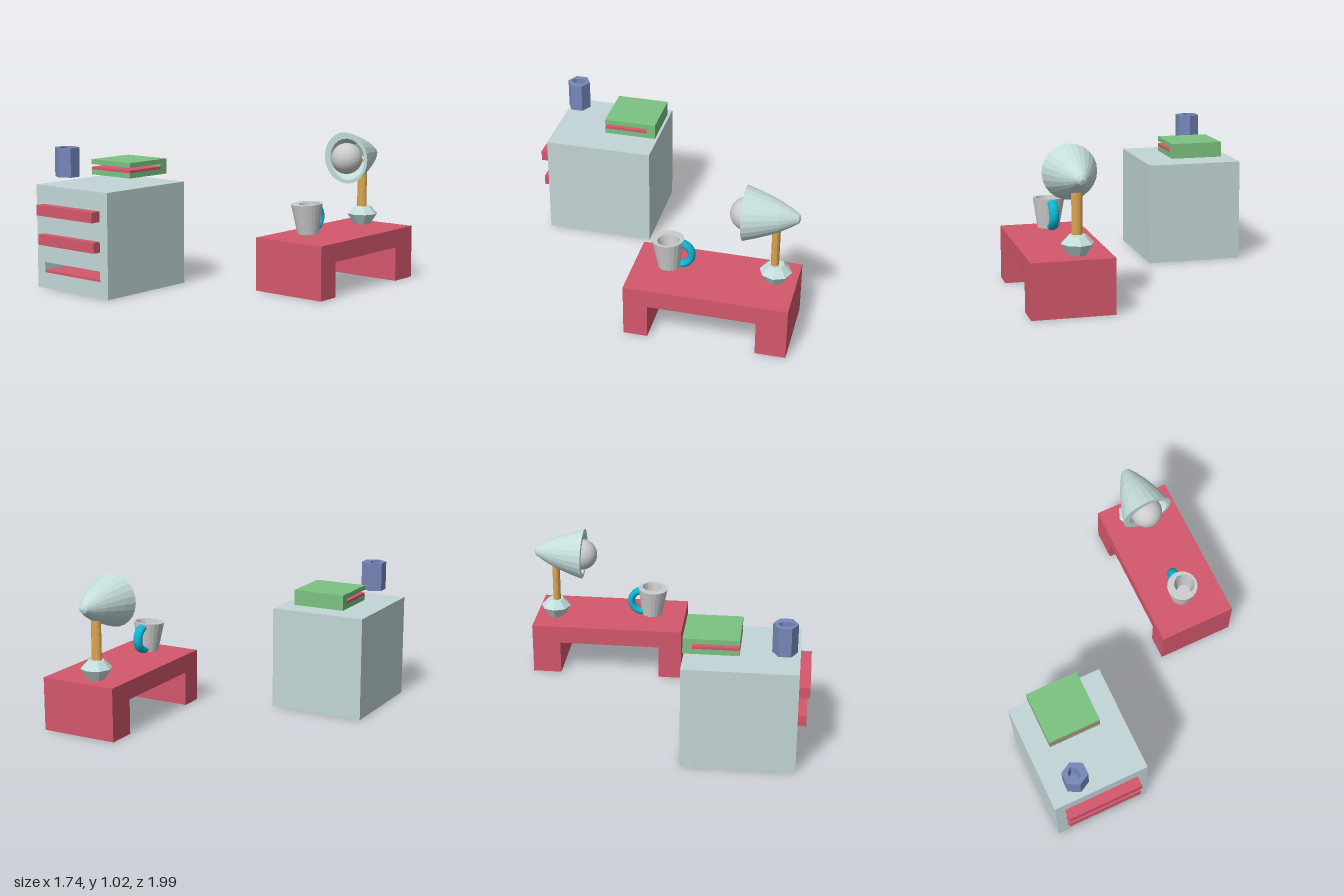
import * as THREE from 'three';

const COLORS = {
  grey: 0xcccccc, pale: 0xc2d6d7, red: 0xd4586c, green: 0x7cc282,
  blue: 0x7688ba, teal: 0x10b4d2, gold: 0xdca650, shade: 0xc4dedc,
};

function part(parent, name, geometry, color, flat = true) {
  const material = new THREE.MeshStandardMaterial({ color: COLORS[color], flatShading: flat });
  const mesh = new THREE.Mesh(geometry, material);
  mesh.name = name;
  parent.add(mesh);
  return mesh;
}

// Box given by its minimum and maximum corners
function box(parent, name, color, [x0, y0, z0], [x1, y1, z1]) {
  const mesh = part(parent, name, new THREE.BoxGeometry(x1 - x0, y1 - y0, z1 - z0), color);
  mesh.position.set((x0 + x1) / 2, (y0 + y1) / 2, (z0 + z1) / 2);
  return mesh;
}

// Closed lathe whose cavity (profile points from index "first") is shifted and squeezed
function vessel(profile, sides, first, dx, dz, squeeze = 1) {
  const geometry = new THREE.LatheGeometry(profile.map(([r, y]) => new THREE.Vector2(r, y)), sides);
  const p = geometry.attributes.position;
  for (let i = 0; i < p.count; i++) {
    if (i % profile.length < first) continue;
    p.setX(i, p.getX(i) * squeeze + dx);
    p.setZ(i, p.getZ(i) + dz);
  }
  geometry.computeVertexNormals();
  return geometry;
}

function rectangle(Type, x0, y0, x1, y1) {
  return new Type([[x0, y0], [x1, y0], [x1, y1], [x0, y1]].map(([x, y]) => new THREE.Vector2(x, y)));
}

function createCabinet() {
  const g = new THREE.Group();
  g.name = 'cabinet';
  // Body: solid back and a front block with an open drawer slot
  box(g, 'cabinetBack', 'pale', [-0.87, 0, 0.19], [-0.21, 0.7, 0.63]);
  const face = rectangle(THREE.Shape, -0.87, 0, -0.21, 0.7);
  face.holes.push(rectangle(THREE.Path, -0.8, 0.11, -0.28, 0.18));
  const front = new THREE.ExtrudeGeometry(face, { depth: 0.3, bevelEnabled: false });
  part(g, 'cabinetFront', front, 'pale').position.z = 0.63;
  // Drawers and the floor of the open slot
  box(g, 'upperDrawer', 'red', [-0.8, 0.505, 0.92], [-0.28, 0.575, 1.0]);
  box(g, 'middleDrawer', 'red', [-0.8, 0.305, 0.92], [-0.28, 0.375, 0.985]);
  box(g, 'slotFloor', 'red', [-0.8, 0.11, 0.63], [-0.28, 0.125, 0.929]);
  return g;
}

function createBook() {
  const g = new THREE.Group();
  g.name = 'book';
  // C-shaped cover, drawn in z and y and extruded along x
  const outline = [[0.19, 0.742], [0.55, 0.742], [0.55, 0.777], [0.25, 0.777],
    [0.25, 0.813], [0.55, 0.813], [0.55, 0.846], [0.19, 0.846]];
  const shape = new THREE.Shape(outline.map(([z, y]) => new THREE.Vector2(-z, y)));
  const cover = new THREE.ExtrudeGeometry(shape, { depth: 0.36, bevelEnabled: false }).rotateY(Math.PI / 2);
  part(g, 'bookCover', cover, 'green').position.x = -0.73;
  box(g, 'bookPages', 'red', [-0.729, 0.777, 0.25], [-0.371, 0.795, 0.549]);
  return g;
}

function createPenCup() {
  const profile = [[0, 0], [0.08, 0], [0.08, 0.195], [0.055, 0.195], [0.055, 0.04], [0, 0.04]];
  const g = new THREE.Group();
  const cup = part(g, 'penCup', vessel(profile, 6, 3, -0.007, 0.005, 0.63), 'blue');
  cup.scale.x = 1.08;
  cup.position.set(-0.675, 0.76, 0.83);
  return cup;
}

function createTable() {
  const g = new THREE.Group();
  // Bridge outline in z and y, extruded along x
  const outline = [[0.08, 0], [0.08, 0.36], [-0.99, 0.36], [-0.99, 0],
    [-0.79, 0], [-0.79, 0.235], [-0.08, 0.235], [-0.08, 0]];
  const shape = new THREE.Shape(outline.map(([z, y]) => new THREE.Vector2(-z, y)));
  const geometry = new THREE.ExtrudeGeometry(shape, { depth: 0.535, bevelEnabled: false }).rotateY(Math.PI / 2);
  const table = part(g, 'table', geometry, 'red');
  table.position.x = 0.332;
  return table;
}

function createLamp() {
  const g = new THREE.Group();
  g.name = 'lamp';
  // Faceted foot and pole
  const foot = [[0, 0], [0.06, 0], [0.106, 0.073], [0.055, 0.126], [0, 0.126]];
  part(g, 'lampFoot', vessel(foot, 8, 9, 0, 0), 'shade').position.set(0.545, 0.362, -0.85);
  const pole = part(g, 'lampPole', new THREE.CylinderGeometry(0.035, 0.035, 0.35, 12), 'gold');
  pole.scale.z = 0.77;
  pole.position.set(0.545, 0.645, -0.842);
  // Hollow shade opening to the front
  const profile = [[0, -0.355], [0.03, -0.342], [0.065, -0.285], [0.097, -0.225], [0.125, -0.158],
    [0.153, -0.08], [0.178, 0], [0.143, 0], [0.125, -0.07], [0.095, -0.15], [0, -0.2]];
  const shade = part(g, 'lampShade', vessel(profile, 24, 7, 0.012, 0.008).rotateX(Math.PI / 2), 'shade');
  shade.rotation.x = 0.03;
  shade.position.set(0.545, 0.843, -0.64);
  const bulb = part(g, 'lampBulb', new THREE.SphereGeometry(0.107, 32, 20), 'grey', false);
  bulb.position.set(0.545, 0.839, -0.65);
  return g;
}

function createMug() {
  const g = new THREE.Group();
  g.name = 'mug';
  // Tapered body with an off-centre cavity
  const profile = [[0, 0], [0.072, 0], [0.105, 0.2], [0.07, 0.2], [0.045, 0.05], [0, 0.05]];
  const body = part(g, 'mugBody', vessel(profile, 20, 3, 0.018, -0.006), 'grey');
  body.rotation.set(0.05, 0, 0.03);
  body.position.set(0.586, 0.386, -0.157);
  // Handle: a little over half a ring on the back
  const ring = new THREE.TorusGeometry(0.08, 0.025, 12, 28, 3.45);
  ring.rotateZ(-Math.PI / 2 - 0.25).rotateY(Math.PI / 2);
  const handle = part(g, 'mugHandle', ring, 'teal', false);
  handle.scale.x = 1.3;
  handle.position.set(0.575, 0.485, -0.223);
  return g;
}

export function createModel() {
  const model = new THREE.Group();
  model.name = 'furnitureSet';
  model.add(createCabinet(), createBook(), createPenCup(), createTable(), createLamp(), createMug());
  return model;
}
